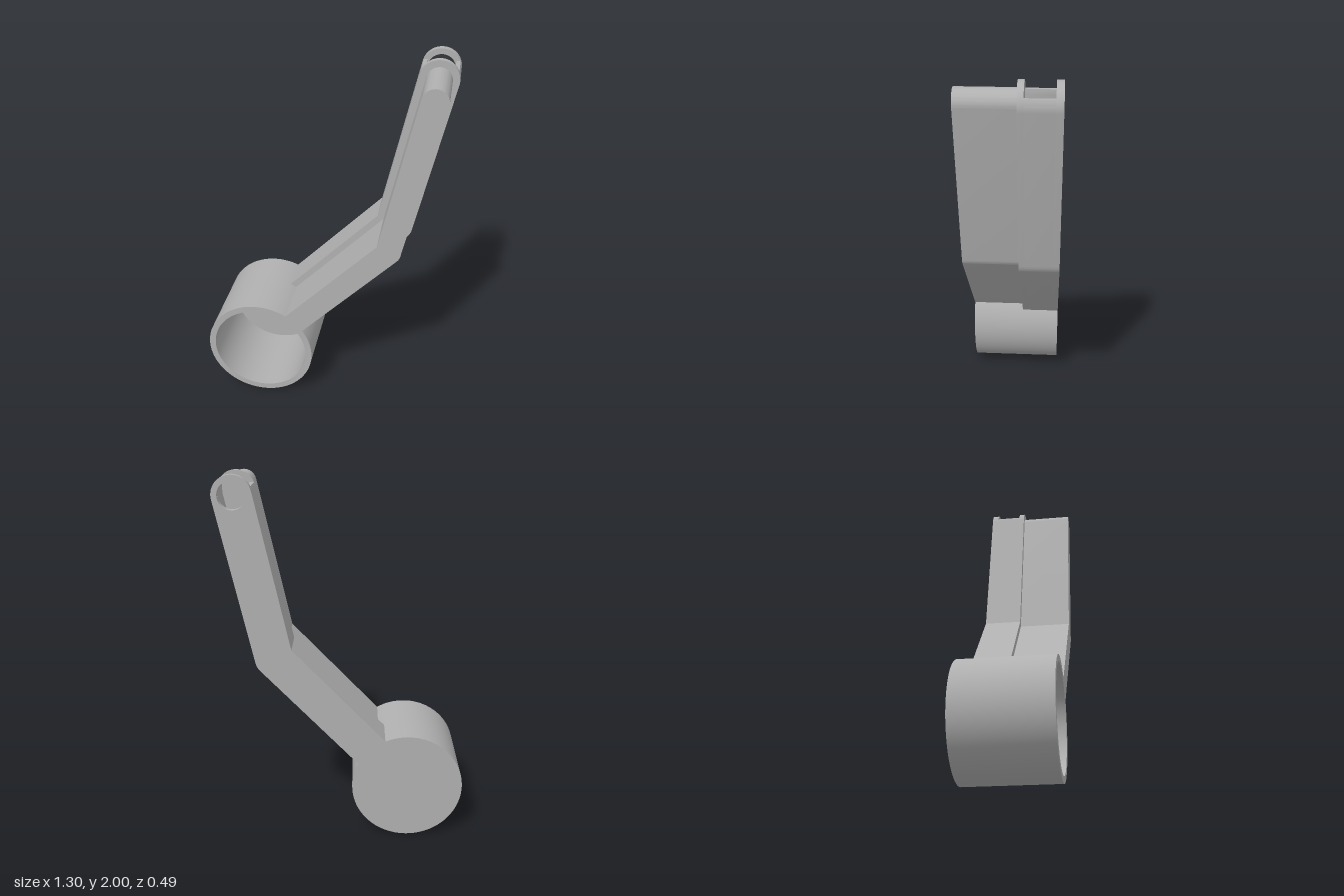
import * as THREE from 'three';
import { toCreasedNormals } from 'three/addons/utils/BufferGeometryUtils.js';

// Centre line: cup centre -> elbow -> tip
const CUP = new THREE.Vector2(-0.347, 0.303);
const ELBOW = new THREE.Vector2(0.366, 1.055);
const TIP = new THREE.Vector2(0.547, 1.9);
const CUP_R = 0.303, CUP_IN = 0.268, WALL = 0.035;
const WIDE = 0.1, NARROW = 0.065, BORE = 0.071;
const BACK = -0.245, FRONT = 0.245, STEP = -0.04, SLOT_Y = 1.94;
const A1 = ELBOW.clone().sub(CUP).angle();
const A2 = TIP.clone().sub(ELBOW).angle();
const H = Math.PI / 2;

const polar = (c, r, a) => new THREE.Vector2(c.x + r * Math.cos(a), c.y + r * Math.sin(a));
const arc = (c, r, a, b, n) => Array.from({ length: n + 1 }, (_, i) => polar(c, r, a + (b - a) * i / n));

// Edges of the bent arm at half width w, from the cup up to the tip centre
function rightEdge(w) {
  return [polar(CUP, 0.301, A1 - Math.asin(w / 0.301)), ...arc(ELBOW, w, A1 - H, A2 - H, 8), polar(TIP, w, A2 - H)];
}
function leftEdge(w) {
  const miter = w / Math.cos((A2 - A1) / 2);
  return [polar(CUP, 0.301, A1 + Math.asin(w / 0.301)), polar(ELBOW, miter, (A1 + A2) / 2 + H), polar(TIP, w, A2 + H)];
}

// Full arm outline with a round tip and a base that fits the cup
function armShape(w) {
  const s = Math.asin(w / 0.301);
  return new THREE.Shape([
    ...arc(CUP, 0.301, A1 + s, A1 - s, 12).slice(0, -1),
    ...rightEdge(w),
    ...arc(TIP, w, A2 - H, A2 + H, 32).slice(1, -1),
    ...leftEdge(w).reverse().slice(0, -1),
  ]);
}

// Side wall of the hollow section, cut level at the slot
function sideWall(edge, side) {
  const end = Math.asin((SLOT_Y - TIP.y) / WIDE);
  const rim = side > 0 ? arc(TIP, WIDE, A2 - H, end, 8) : arc(TIP, WIDE, A2 + H, Math.PI - end, 4);
  return new THREE.Shape([
    ...edge(WIDE), ...rim.slice(1),
    new THREE.Vector2(TIP.x + side * BORE, SLOT_Y),
    ...edge(BORE).reverse(),
  ]);
}

export function createModel() {
  const group = new THREE.Group();
  const grey = new THREE.MeshStandardMaterial({ color: 0xb0b0b0 });
  grey.name = 'plain grey';

  const add = (name, geometry) => {
    const mesh = new THREE.Mesh(toCreasedNormals(geometry, 0.4), grey);
    mesh.name = name;
    group.add(mesh);
    return mesh;
  };
  const slab = (name, shape, z0, z1) => {
    const g = new THREE.ExtrudeGeometry(shape, { depth: z1 - z0, bevelEnabled: false, curveSegments: 32 });
    return add(name, g.translate(0, 0, z0));
  };

  // Round cup, open to the front
  const profile = [
    [0, BACK], [CUP_R, BACK], [CUP_R, FRONT], [CUP_IN, FRONT], [CUP_IN, BACK + WALL], [0, BACK + WALL],
  ].map(([r, y]) => new THREE.Vector2(r, y));
  const cup = new THREE.LatheGeometry(profile, 96);
  cup.rotateX(H).translate(CUP.x, CUP.y, 0);
  add('cup', cup);

  // Narrow front arm
  slab('frontArm', armShape(NARROW), STEP, FRONT);

  // Wide rear arm: two plates joined by side walls, with a pierced back tip
  slab('middlePlate', armShape(WIDE), STEP - 0.03, STEP);
  const back = armShape(WIDE);
  back.holes.push(new THREE.Path().absarc(TIP.x, TIP.y, BORE, 0, Math.PI * 2, true));
  slab('backPlate', back, BACK, BACK + WALL);
  slab('rightSideWall', sideWall(rightEdge, 1), BACK + WALL, STEP - 0.03);
  slab('leftSideWall', sideWall(leftEdge, -1), BACK + WALL, STEP - 0.03);

  return group;
}
